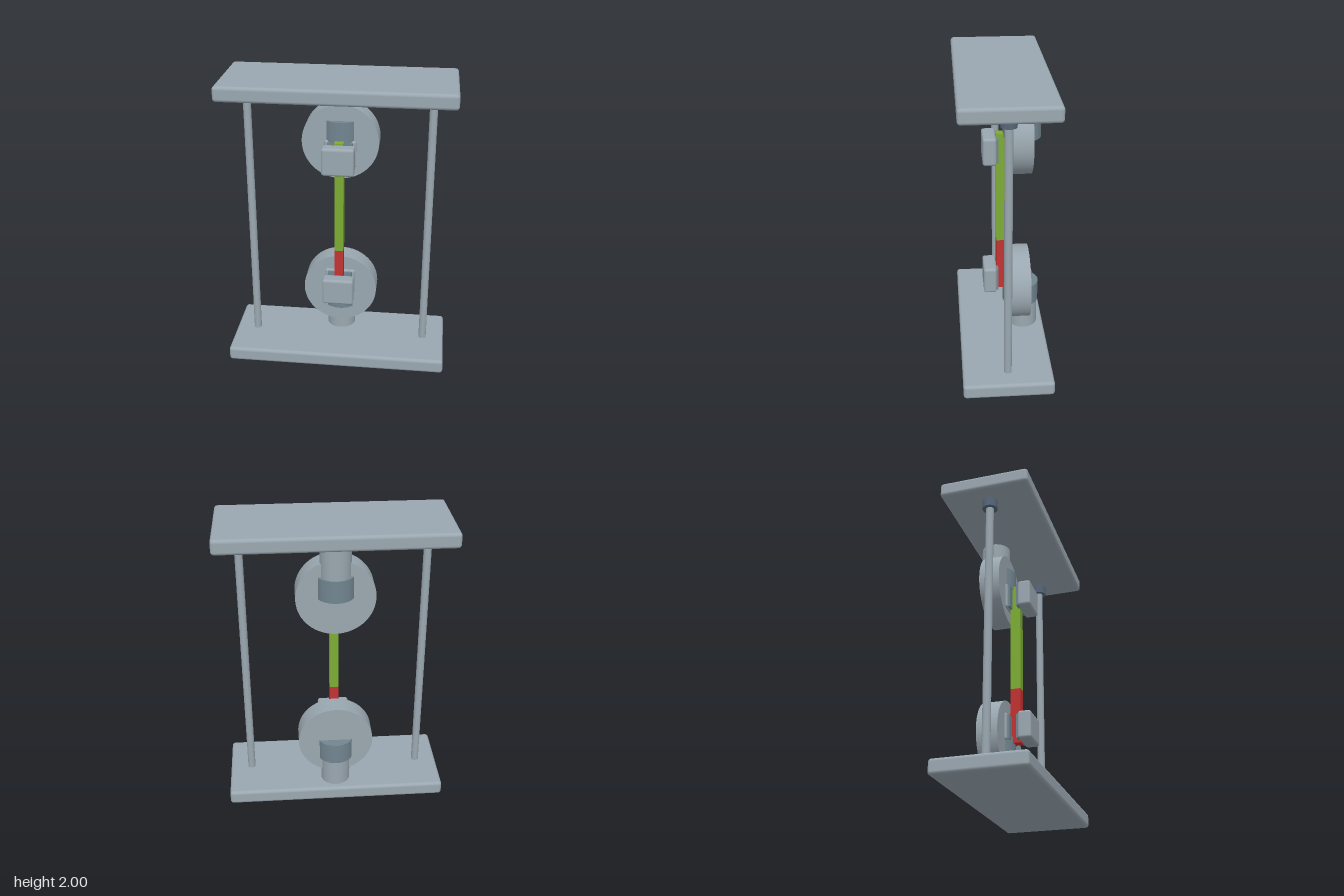
import * as THREE from 'three';
import { RoundedBoxGeometry } from 'three/addons/geometries/RoundedBoxGeometry.js';

const mat = (name, color) => {
  const m = new THREE.MeshStandardMaterial({ color });
  m.name = name;
  return m;
};

export function createModel() {
  const steel = mat('steel', 0x9aa7b0);
  const darkSteel = mat('dark steel', 0x728590);
  const blueSteel = mat('blue steel', 0x56677b);
  const green = mat('green', 0x7cab34);
  const red = mat('red', 0xc23232);

  const model = new THREE.Group();
  model.name = 'tensileTestFrame';

  const add = (parent, name, geometry, material, x, y, z) => {
    const mesh = new THREE.Mesh(geometry, material);
    mesh.name = name;
    mesh.position.set(x, y, z);
    parent.add(mesh);
    return mesh;
  };
  const cylinder = (r, h) => new THREE.CylinderGeometry(r, r, h, 48);

  // End plates
  const plate = new RoundedBoxGeometry(1.5, 0.1, 0.6, 4, 0.022);
  add(model, 'basePlate', plate, steel, 0, 0.05, 0);
  add(model, 'topPlate', plate, steel, 0, 1.95, 0);

  // Guide rods with collars under the top plate
  for (const [side, x] of [['left', 0.6], ['right', -0.6]]) {
    add(model, side + 'Rod', cylinder(0.026, 1.82), steel, x, 1, 0);
    add(model, side + 'RodCollar', cylinder(0.05, 0.07), blueSteel, x, 1.87, 0);
  }

  // Grip assembly; dir is +1 when it hangs from the top plate, -1 when it stands on the base
  const buildGrip = (name, dir) => {
    const grip = new THREE.Group();
    grip.name = name;
    grip.position.y = dir > 0 ? 1.545 : 0.437;

    const disc = add(grip, 'disc', new THREE.CylinderGeometry(0.256, 0.256, 0.142, 96), steel, 0, 0, -0.12);
    disc.rotation.x = Math.PI / 2;
    add(grip, 'post', cylinder(0.1, 0.28), steel, 0, dir * 0.22, -0.155);
    add(grip, 'sleeve', cylinder(0.125, 0.15), darkSteel, 0, dir * 0.071, -0.136);

    // Facing jaws with pads either side of the specimen
    const jawY = dir > 0 ? -0.08 : 0.06;
    for (const [label, s] of [['front', 1], ['back', -1]]) {
      add(grip, label + 'Jaw', new RoundedBoxGeometry(0.214, 0.19, 0.09, 4, 0.018), steel, 0, jawY, s * 0.081);
      add(grip, label + 'JawPad', new THREE.BoxGeometry(0.17, 0.165, 0.02), darkSteel, 0, jawY, s * 0.033);
    }
    model.add(grip);
  };
  buildGrip('upperGrip', 1);
  buildGrip('lowerGrip', -1);

  // Two-colour specimen
  add(model, 'upperSpecimen', new THREE.BoxGeometry(0.06, 0.785, 0.07), green, 0, 1.1725, 0);
  add(model, 'lowerSpecimen', new THREE.BoxGeometry(0.06, 0.38, 0.07), red, 0, 0.59, 0);

  return model;
}
